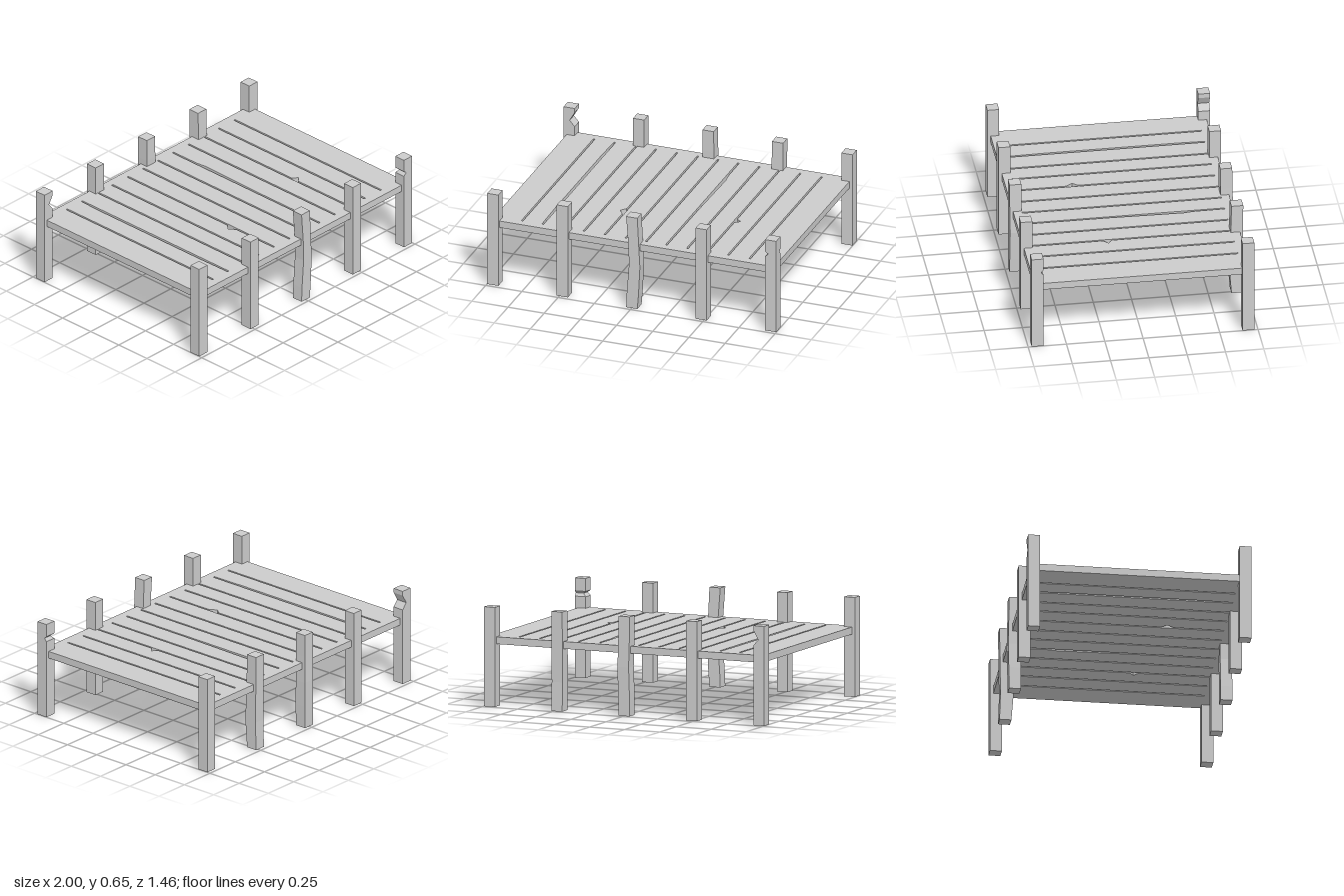
import * as THREE from 'three';

const material = new THREE.MeshStandardMaterial({ color: 0xcccccc, flatShading: true });
const HALF = 0.0385, HEIGHT = 0.65;

// Square post; each ring is [y, shift of -x side, +x side, -z side, +z side].
function makePost(name, x, z, middle = []) {
  const rings = [[0, 0, 0, 0, 0], ...middle, [HEIGHT, 0, 0, 0, 0]];
  const n = rings.length - 1;
  const geometry = new THREE.BoxGeometry(2, n, 2, 1, n, 1);
  const p = geometry.attributes.position;
  for (let i = 0; i < p.count; i++) {
    const [y, left, right, back, front] = rings[Math.round(p.getY(i) + n / 2)];
    const sx = Math.sign(p.getX(i)), sz = Math.sign(p.getZ(i));
    p.setXYZ(i, sx * HALF + (sx < 0 ? left : right), y, sz * HALF + (sz < 0 ? back : front));
  }
  geometry.computeVertexNormals();
  const post = new THREE.Mesh(geometry, material);
  post.name = name;
  post.position.set(x, 0, z);
  return post;
}

// Slab with gaps between boards; some gap edges are chipped or worn.
function makeDeck() {
  const shape = new THREE.Shape([[-0.977, -0.705], [0.977, -0.705], [0.977, 0.705], [-0.977, 0.705]]
    .map(([x, z]) => new THREE.Vector2(x, -z)).reverse());
  const gaps = [-0.787, -0.645, -0.495, -0.36, -0.215, -0.07, 0.07, 0.21, 0.355, 0.495, 0.637, 0.785];
  // Extra edge points, as [x, z], keyed by gap index
  const leftChips = {
    1: [[-0.656, -0.45], [-0.656, 0.4]],
    4: [[-0.221, 0.24], [-0.252, 0.275], [-0.221, 0.32]],
  };
  const rightChips = {
    7: [[0.217, -0.45], [0.226, -0.38], [0.217, 0.1]],
    9: [[0.501, 0.13], [0.534, 0.155], [0.501, 0.185]],
  };
  gaps.forEach((x, i) => {
    const w = 0.006;
    const outline = [
      [x - w, -0.652], ...(leftChips[i] || []), [x - w, 0.65],
      [x + w, 0.65], ...(rightChips[i] || []).slice().reverse(), [x + w, -0.652],
    ];
    shape.holes.push(new THREE.Path(outline.map(([a, z]) => new THREE.Vector2(a, -z))));
  });
  const geometry = new THREE.ExtrudeGeometry(shape, { depth: 0.047, bevelEnabled: false });
  geometry.rotateX(-Math.PI / 2);
  const deck = new THREE.Mesh(geometry, material);
  deck.name = 'deck';
  deck.position.y = 0.408;
  return deck;
}

export function createModel() {
  const group = new THREE.Group();
  group.name = 'dock';
  group.add(makeDeck());

  // Bent and notched posts, by row and column
  const special = {
    front2: [[0.1, 0.004, 0.008, 0, 0], [0.3, 0.019, 0.018, 0, 0], [0.43, 0.017, 0.011, 0, 0]],
    front4: [[0.53, 0, 0, 0, 0], [0.55, 0.022, 0, 0.016, 0], [0.565, 0, 0, 0, 0]],
    back0: [[0.52, 0, 0, 0, 0], [0.56, 0, -0.035, 0, 0], [0.62, 0, 0, 0, 0]],
    back2: [[0.15, 0, 0.004, -0.002, 0], [0.32, 0.004, 0.006, -0.005, -0.004], [0.5, 0, 0.002, -0.002, 0]],
    back3: [[0.19, 0, 0, 0.006, 0.015], [0.4, 0, 0, 0.003, 0.006]],
  };
  for (const [row, z] of [['front', 0.688], ['back', -0.688]]) {
    for (let i = 0; i < 5; i++) {
      group.add(makePost(`${row}Post${i + 1}`, (i - 2) * 0.48, z, special[row + i]));
    }
  }
  return group;
}
